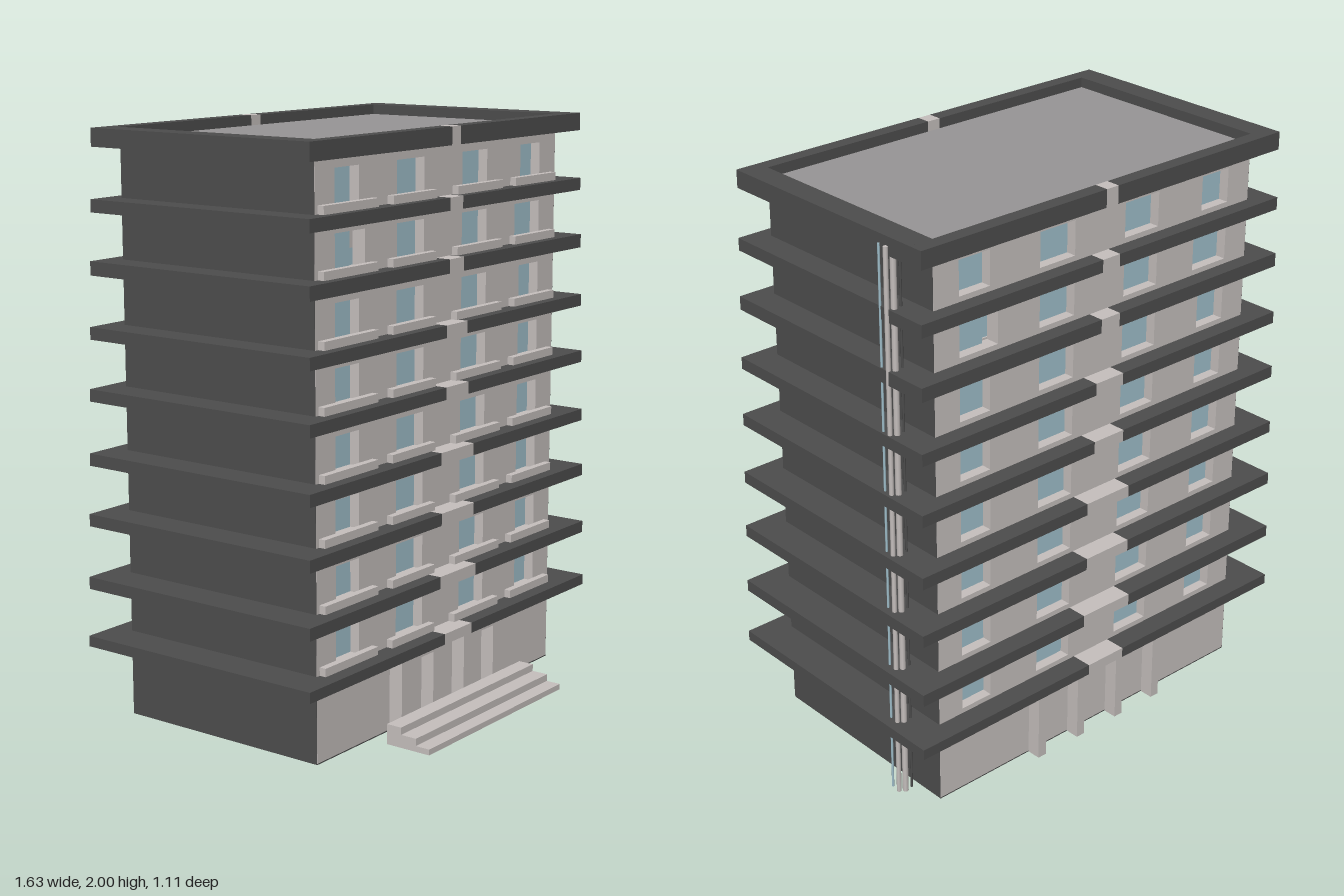
import * as THREE from 'three';

const mat = (name, color) => Object.assign(new THREE.MeshStandardMaterial({ color }), { name });

export function createModel() {
  const dark = mat('dark concrete', 0x4d4d4d);
  const light = mat('light plaster', 0xc5bfbd);
  const roofGrey = mat('roof grey', 0x979596);
  const glass = mat('window glass', 0xa0bfcb);

  const model = new THREE.Group();
  model.name = 'apartmentBlock';

  // Box given by its limits on each axis
  const box = (name, m, x0, x1, y0, y1, z0, z1) => {
    const mesh = new THREE.Mesh(new THREE.BoxGeometry(x1 - x0, y1 - y0, z1 - z0), m);
    mesh.position.set((x0 + x1) / 2, (y0 + y1) / 2, (z0 + z1) / 2);
    mesh.name = name;
    model.add(mesh);
    return mesh;
  };

  const W = 0.685, F = 0.32, B = -0.48, T = 0.05;
  const slabs = [ // bottom, top, half width of the pale middle piece
    [0.26, 0.297, 0.08], [0.461, 0.503, 0.105], [0.678, 0.72, 0.095],
    [0.885, 0.927, 0.095], [1.102, 1.144, 0.065], [1.309, 1.351, 0.06],
    [1.521, 1.568, 0.04], [1.727, 1.77, 0.037], [1.939, 2, 0.025],
  ];
  const columns = [[-0.585, -0.462], [-0.26, -0.11], [0.108, 0.256], [0.462, 0.585]];

  // Window openings: one floor has a gap beside the outer panes
  const openings = [];
  for (let i = 0; i < 8; i++) {
    const y0 = slabs[i][1] + 0.018, y1 = slabs[i][1] + 0.136;
    columns.forEach(([x0, x1], c) => {
      const gap = i === 6 ? 0.032 : 0;
      openings.push({
        x0: x0 - (c === 3 ? gap : 0), x1: x1 + (c === 0 ? gap : 0), y0, y1, pane: [x0, x1],
      });
    });
  }

  // Front and back walls with holes, and recessed panes
  const wall = new THREE.Shape();
  wall.moveTo(-W, 0.004).lineTo(W, 0.004).lineTo(W, 1.945).lineTo(-W, 1.945).closePath();
  for (const o of openings) {
    const hole = new THREE.Path();
    hole.moveTo(o.x0, o.y0).lineTo(o.x0, o.y1).lineTo(o.x1, o.y1).lineTo(o.x1, o.y0).closePath();
    wall.holes.push(hole);
  }
  const wallGeo = new THREE.ExtrudeGeometry(wall, { depth: T, bevelEnabled: false });
  for (const [name, z, paneZ] of [['front', F - T, F - 0.04], ['back', B, B + 0.04]]) {
    const m = new THREE.Mesh(wallGeo, light);
    m.position.z = z;
    m.name = name + 'Wall';
    model.add(m);
    for (const o of openings) {
      box(name + 'WindowPane', glass, o.pane[0], o.pane[1], o.y0, o.y1, paneZ - 0.004, paneZ + 0.004);
    }
  }

  // Side walls, base and roof deck
  for (const s of [-1, 1]) {
    const a = s * W, b = s * (W - T);
    box('sideWall', dark, Math.min(a, b) - (s < 0 ? 0.001 : 0), Math.max(a, b) + (s > 0 ? 0.001 : 0),
      0.004, 1.945, B + 0.0005, F - 0.0005);
  }
  box('base', dark, -W, W, 0, 0.004, B, F);
  box('roofDeck', roofGrey, -W - 0.003, W + 0.003, 1.945, 1.965, B, F);

  // Overhanging ledges, narrowing upwards, with a pale middle piece front and back
  slabs.forEach(([y0, y1, c], i) => {
    const hx = 0.815 - 0.045 * i / 8, hz = 0.475 - 0.025 * i / 8;
    const zf = -0.08 + hz, zb = -0.08 - hz;
    for (const [z0, z1] of [[F, zf], [zb, B]]) {
      box('ledge', dark, -hx, -c, y0, y1, z0, z1);
      box('ledge', dark, c, hx, y0, y1, z0, z1);
      box('ledgeCentre', light, -c, c, y0, y1, z0, z1);
    }
    box('sideLedge', dark, -hx, -W, y0, y1, B, F);
    box('sideLedge', dark, W, hx, y0, y1, B, F);
  });

  // Low balcony parapets on the front
  for (let i = 0; i < 8; i++) {
    for (const [x0, x1] of [[-0.67, -0.39], [-0.31, -0.07], [0.05, 0.32], [0.4, 0.655]]) {
      box('balconyParapet', light, x0, x1, slabs[i][1], slabs[i][1] + 0.028, F, F + 0.024);
    }
  }

  // Door surrounds on both faces
  for (const [z0, z1] of [[F, 0.37], [-0.53, B]]) {
    for (const x of [-0.185, 0.18]) {
      box('doorJamb', light, x - 0.108, x - 0.074, 0, 0.26, z0, z1);
      box('doorJamb', light, x + 0.074, x + 0.108, 0, 0.26, z0, z1);
      box('doorLintel', light, x - 0.074, x + 0.074, 0.238, 0.26, z0, z1);
    }
  }

  // Front steps as one stepped profile
  const steps = new THREE.Shape();
  steps.moveTo(0.388, 0).lineTo(0.558, 0).lineTo(0.558, 0.02).lineTo(0.505, 0.02)
    .lineTo(0.505, 0.045).lineTo(0.445, 0.045).lineTo(0.445, 0.07).lineTo(0.388, 0.07).closePath();
  const stair = new THREE.Mesh(new THREE.ExtrudeGeometry(steps, { depth: 0.8, bevelEnabled: false }), light);
  stair.rotation.y = -Math.PI / 2;
  stair.position.x = 0.4;
  stair.name = 'frontSteps';
  model.add(stair);

  // Thin service pipes along one side
  for (const [m, x, z, r] of [[light, 0.758, -0.387, 0.01], [light, 0.776, -0.375, 0.008],
    [glass, 0.775, -0.342, 0.004], [dark, 0.73, -0.385, 0.004]]) {
    const pipe = new THREE.Mesh(new THREE.CylinderGeometry(r, r, 1.95, 8), m);
    pipe.position.set(x, 0.995, z);
    pipe.name = 'servicePipe';
    model.add(pipe);
  }
  return model;
}
